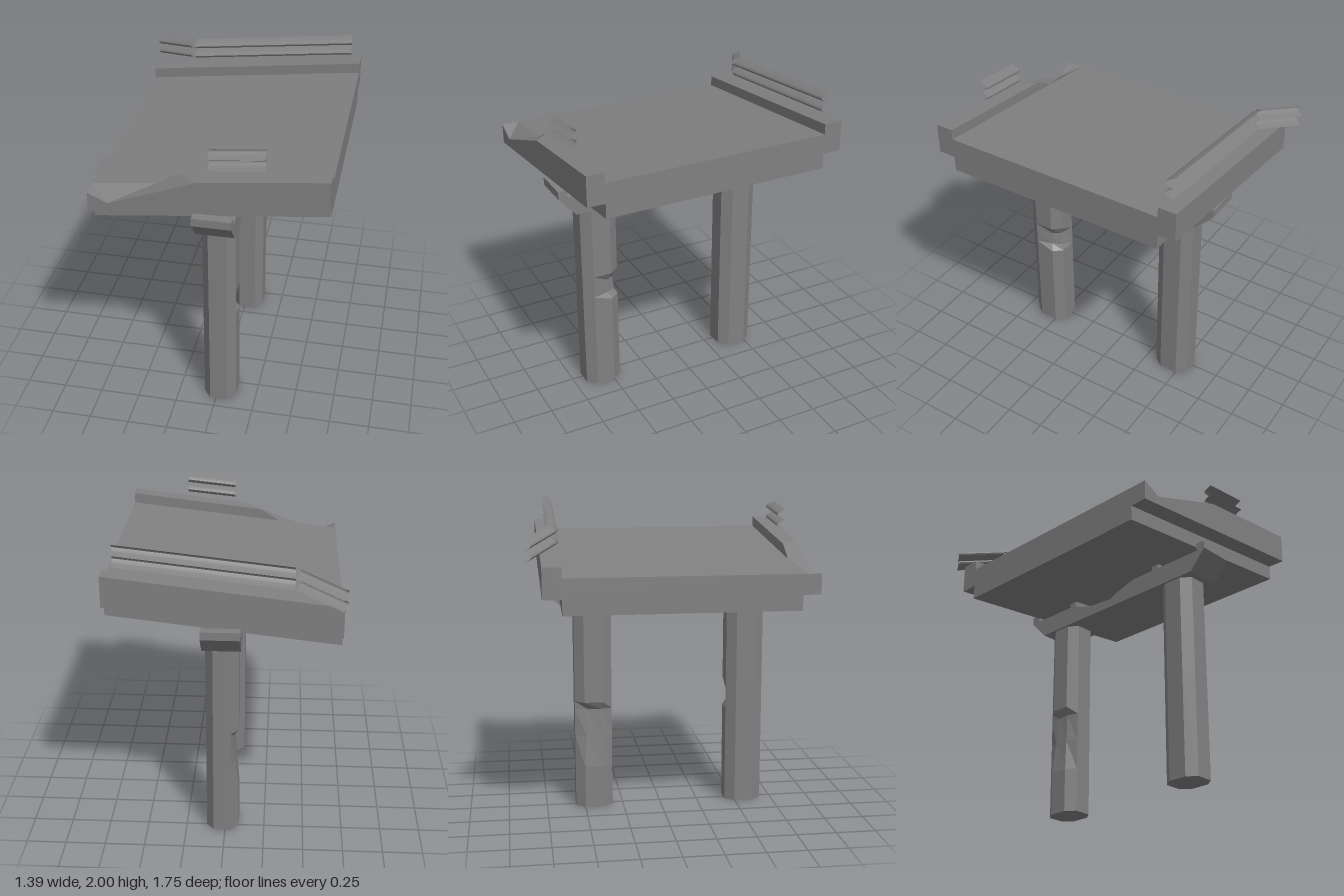
import * as THREE from 'three';

const SLOPE = 0.116; // the deck climbs towards +x

export function createModel() {
  const model = new THREE.Group();
  const concrete = new THREE.MeshStandardMaterial({ color: 0x808080, side: THREE.DoubleSide });

  const add = (name, geometry) => {
    const mesh = new THREE.Mesh(geometry, concrete);
    mesh.name = name;
    model.add(mesh);
  };

  // Flat-faced geometry from polygons, each split as a fan from its first corner
  const fromPolygons = (polygons) => {
    const pos = [];
    for (const p of polygons) {
      for (let i = 1; i < p.length - 1; i++) pos.push(...p[0], ...p[i], ...p[i + 1]);
    }
    const g = new THREE.BufferGeometry();
    g.setAttribute('position', new THREE.Float32BufferAttribute(pos, 3));
    g.computeVertexNormals();
    return g;
  };

  // Prism along x from a [z, y] profile, optionally sheared to follow the slope
  const prism = (profile, x0, x1, slope = 0) => {
    const shape = new THREE.Shape(profile.map(([z, y]) => new THREE.Vector2(-z, y)));
    const g = new THREE.ExtrudeGeometry(shape, { depth: x1 - x0, bevelEnabled: false });
    g.rotateY(Math.PI / 2).translate(x0, 0, 0);
    const p = g.attributes.position;
    for (let i = 0; i < p.count; i++) p.setY(i, p.getY(i) + slope * p.getX(i));
    g.computeVertexNormals();
    return g;
  };

  // Road slab with the intact back curb
  add('deck', prism([
    [0.765, 1.465], [0.765, 1.685], [-0.66, 1.685], [-0.66, 1.75],
    [-0.775, 1.75], [-0.775, 1.56], [-0.66, 1.56], [-0.66, 1.465],
  ], -0.69, 0.69, SLOPE));

  // Front curb with its broken corner: f = outer top edge, b = inner top edge
  const onSlope = (x, y, z) => [x, y + SLOPE * x, z];
  const F = 0.875, B = 0.765;
  const f = [[-0.69, 1.605, F], [-0.57, 1.55, F], onSlope(-0.05, 1.75, F), onSlope(0.69, 1.75, F)];
  const b = [onSlope(-0.69, 1.685, B), onSlope(-0.31, 1.685, B), onSlope(-0.18, 1.75, B), onSlope(0.69, 1.75, B)];
  const g0 = onSlope(-0.69, 1.56, F), g1 = onSlope(0.69, 1.56, F);
  const h0 = onSlope(-0.69, 1.56, B), h1 = onSlope(0.69, 1.56, B);
  const curb = [
    [f[1], f[0], g0, g1, f[3], f[2]],
    [b[1], b[2], b[3], onSlope(0.69, 1.685, B)],
    [g1, h1, b[3], f[3]],
    [g0, f[0], b[0], h0],
    [g0, h0, h1, g1],
  ];
  for (let i = 0; i < 3; i++) curb.push([b[i], f[i], f[i + 1]], [b[i], f[i + 1], b[i + 1]]);
  add('brokenCurb', fromPolygons(curb));

  // Pier cap with end stops, bearing blocks and a chipped middle
  add('pierCap', prism([
    [0.72, 1.3], [0.83, 1.425], [0.83, 1.475], [0.77, 1.475], [0.77, 1.425],
    [0.455, 1.425], [0.455, 1.475], [0.4, 1.475], [0.4, 1.425], [0.24, 1.425],
    [0.08, 1.38], [0.035, 1.355], [-0.16, 1.37], [-0.29, 1.41],
    [-0.29, 1.475], [-0.345, 1.475], [-0.345, 1.425], [-0.655, 1.425],
    [-0.655, 1.475], [-0.72, 1.475], [-0.72, 1.425], [-0.6, 1.3],
  ], -0.1, 0.135));

  // Eight-sided pillars; a ring lists the corners pulled inwards by a chip
  const octagon = [
    [0.1025, 0.06], [0.0555, 0.12], [-0.0555, 0.12], [-0.1025, 0.06],
    [-0.1025, -0.06], [-0.0555, -0.12], [0.0555, -0.12], [0.1025, -0.06],
  ];
  const pillar = (name, z, rings) => {
    const loops = rings.map(([y, chips = {}]) => octagon.map(([px, pz], i) => {
      const k = chips[i] ?? 1;
      return [0.0175 + px * k, y, z + pz * k];
    }));
    const faces = [[...loops[0]], [...loops[loops.length - 1]].reverse()];
    for (let r = 0; r < loops.length - 1; r++) {
      for (let i = 0; i < 8; i++) {
        const j = (i + 1) % 8;
        faces.push([loops[r][i], loops[r + 1][i], loops[r + 1][j], loops[r][j]]);
      }
    }
    add(name, fromPolygons(faces));
  };
  pillar('frontPillar', 0.557, [[0], [0.63], [0.67, { 7: 0.72, 6: 0.82 }], [0.76, { 7: 0.68, 6: 0.75 }], [0.82], [1.3]]);
  pillar('backPillar', -0.44, [[0], [0.28], [0.48, { 4: 0.8, 3: 0.85 }], [0.66, { 4: 0.66, 3: 0.75 }], [0.71], [1.3]]);

  // Corrugated guard rail between two lower-edge points, bulging to one side
  const rail = (name, start, end, side) => {
    const a = new THREE.Vector3(...start), c = new THREE.Vector3(...end);
    const out = new THREE.Vector3(-(c.z - a.z), 0, c.x - a.x).normalize().multiplyScalar(side);
    const N = 16, faces = [];
    const at = (p, i) => {
      const d = 0.055 * Math.abs(Math.sin(2 * Math.PI * i / N));
      return [p.x + out.x * d, p.y + 0.135 * i / N, p.z + out.z * d];
    };
    for (let i = 0; i < N; i++) faces.push([at(a, i), at(c, i), at(c, i + 1), at(a, i + 1)]);
    add(name, fromPolygons(faces));
  };
  rail('backRail', [-0.41, 1.75, -0.72], [0.63, 1.865, -0.72], 1);
  rail('bentRailEnd', [-0.675, 1.69, -0.88], [-0.41, 1.75, -0.72], 1);
  rail('frontRailPiece', [0, 1.797, 0.825], [0.32, 1.83, 0.825], -1);

  return model;
}
